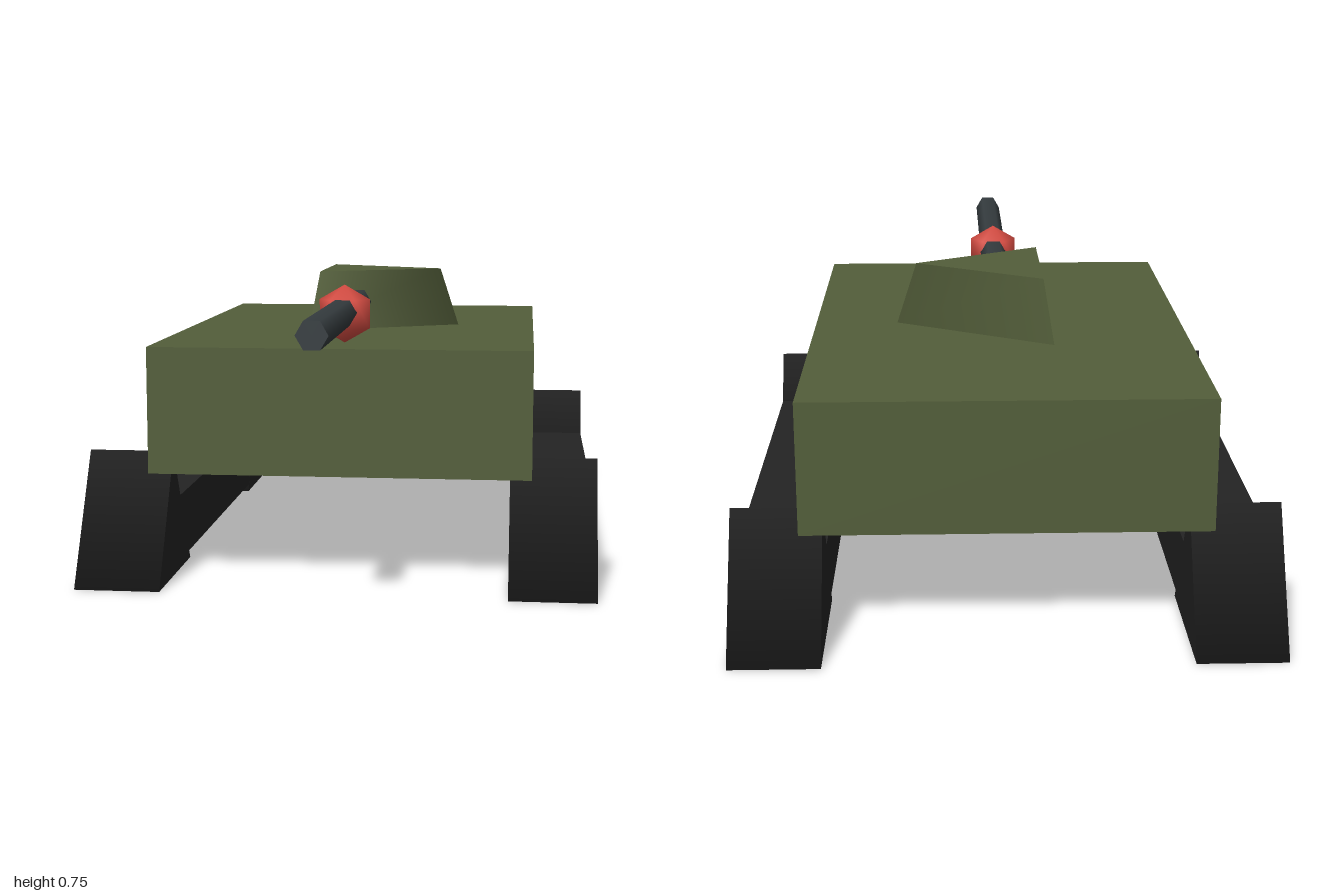
import * as THREE from 'three';

const paint = (name, color) => {
  const m = new THREE.MeshStandardMaterial({ color });
  m.name = name;
  return m;
};

export function createModel() {
  const olive = paint('olive green', 0x535e3a);
  const black = paint('track black', 0x232323);
  const steel = paint('gun grey', 0x363d40);
  const red = paint('red', 0xd64c42);

  const model = new THREE.Group();
  model.name = 'tank';
  const add = (name, geometry, material, x, y, z) => {
    const mesh = new THREE.Mesh(geometry, material);
    mesh.name = name;
    mesh.position.set(x, y, z);
    model.add(mesh);
    return mesh;
  };

  // Hull
  add('hull', new THREE.BoxGeometry(0.96, 0.32, 1.385), olive, 0, 0.43, -0.174);

  // Three-sided turret with its point towards +x
  add('turret', new THREE.CylinderGeometry(0.215, 0.267, 0.16, 3).rotateY(Math.PI / 2),
    olive, 0, 0.67, -0.18);

  // Six-sided barrel and the ball around it
  add('barrel', new THREE.CylinderGeometry(0.037, 0.037, 0.96, 6).rotateY(Math.PI / 6).rotateX(Math.PI / 2),
    steel, 0, 0.67, 0.52);
  add('barrelBall', new THREE.SphereGeometry(0.074, 6, 3), red, 0, 0.664, 0.36);

  // Running gear: triangular wheels joined by a bar on each side
  const wheel = new THREE.CylinderGeometry(0.213, 0.213, 0.214, 3)
    .rotateZ(Math.PI / 2);
  // Turn one corner of the wheel to the top
  wheel.rotateX(-Math.PI / 2);
  const bar = new THREE.BoxGeometry(0.213, 0.17, 1.285);
  for (const [side, s] of [['left', 1], ['right', -1]]) {
    const x = s * 0.533;
    add(side + 'FrontWheel', wheel, black, x, 0.107, 0.468);
    add(side + 'BackWheel', wheel, black, x, 0.107, -0.815);
    add(side + 'TrackBar', bar, black, x, 0.106, -0.173);
  }
  return model;
}
